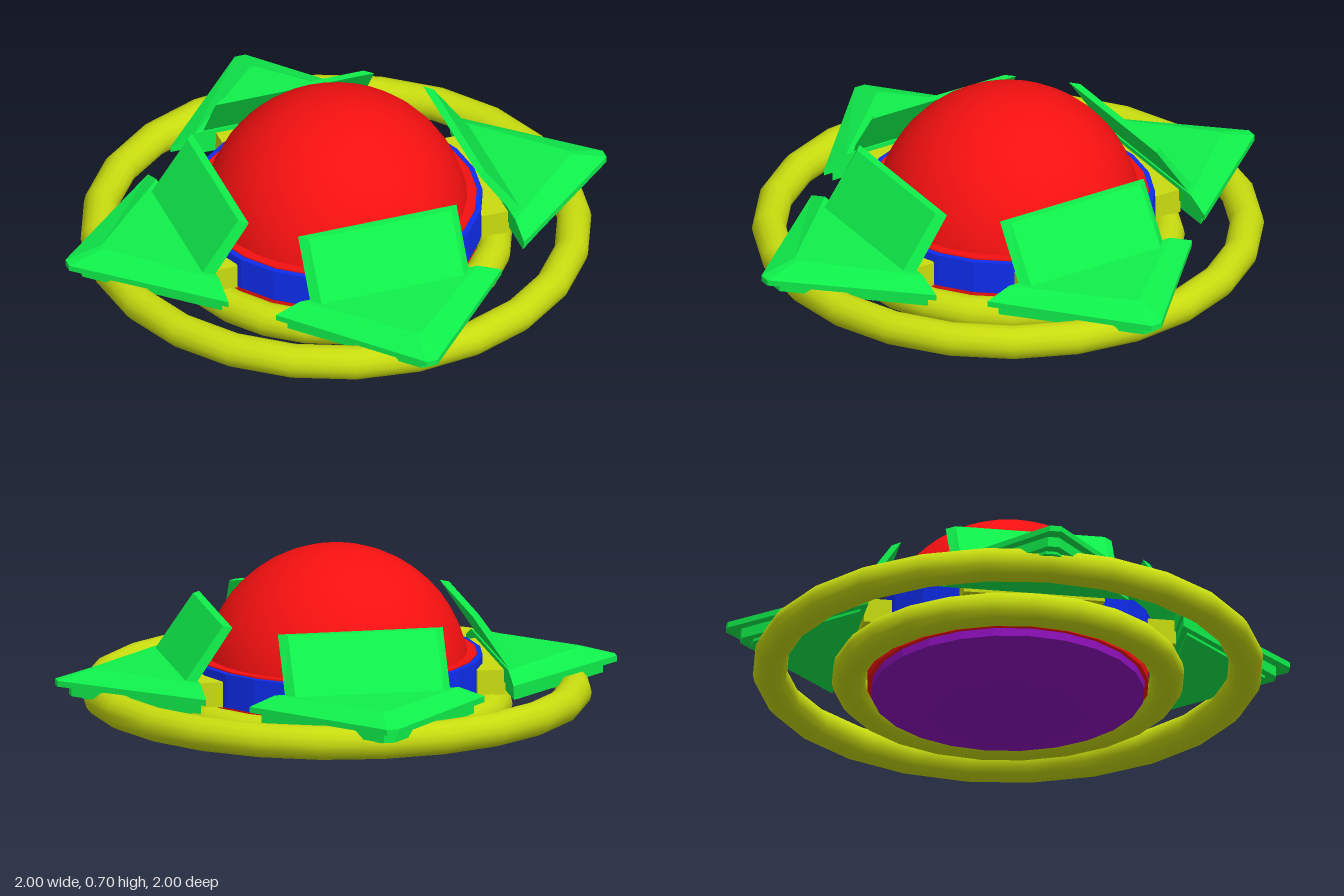
import * as THREE from 'three';

const SEG = 24;
const paint = (color, flat = false) => new THREE.MeshStandardMaterial({ color, flatShading: flat });

// Solid through matching convex outlines, each a list of [x, y, z], counter-clockwise seen from above.
function loft(sections) {
  const pos = [];
  const tri = (a, b, c) => pos.push(...a, ...b, ...c);
  const n = sections[0].length;
  for (let s = 0; s < sections.length - 1; s++) {
    const lo = sections[s], hi = sections[s + 1];
    for (let i = 0; i < n; i++) {
      const j = (i + 1) % n;
      tri(lo[i], lo[j], hi[j]);
      tri(lo[i], hi[j], hi[i]);
    }
  }
  const bottom = sections[0], top = sections[sections.length - 1];
  for (let i = 1; i < n - 1; i++) {
    tri(bottom[0], bottom[i + 1], bottom[i]);
    tri(top[0], top[i], top[i + 1]);
  }
  const geometry = new THREE.BufferGeometry();
  geometry.setAttribute('position', new THREE.Float32BufferAttribute(pos, 3));
  geometry.computeVertexNormals();
  return geometry;
}

// Arrowhead outline pointing along +x with a blunt tip.
const arrow = (y, back, halfWidth, tip, halfTip) => [
  [back, y, halfWidth], [tip, y, halfTip], [tip, y, -halfTip], [back, y, -halfWidth],
];

export function createModel() {
  const group = new THREE.Group();
  const add = (parent, name, geometry, material, x = 0, y = 0, z = 0) => {
    const mesh = new THREE.Mesh(geometry, material);
    mesh.name = name;
    mesh.position.set(x, y, z);
    parent.add(mesh);
    return mesh;
  };

  const red = paint(0xf51010), redFlat = paint(0xf51010, true);
  const green = paint(0x0ff04b, true);
  const yellow = paint(0xc8dc0f), yellowFlat = paint(0xc8dc0f, true);
  const blue = paint(0x0f2df0, true);
  const purple = paint(0x9010be, true);

  // Dome on a shallow drum
  add(group, 'dome', new THREE.SphereGeometry(0.47, 32, 12, 0, Math.PI * 2, 0, Math.PI / 2), red, 0, 0.235, 0);
  add(group, 'drum', new THREE.CylinderGeometry(0.495, 0.495, 0.215, SEG), redFlat, 0, 0.2175, 0);

  // Blue collar around the drum
  add(group, 'collar', new THREE.CylinderGeometry(0.515, 0.515, 0.12, SEG), blue, 0, 0.26, 0);

  // Tapered underside
  const hull = [[0, 0], [0.28, 0], [0.48, 0.08], [0.48, 0.13], [0, 0.13]].map(p => new THREE.Vector2(...p));
  add(group, 'underside', new THREE.LatheGeometry(hull, SEG), purple);

  // Two rings
  for (const [name, radius, y] of [['innerRing', 0.56, 0.145], ['outerRing', 0.838, 0.188]]) {
    const ring = new THREE.TorusGeometry(radius, 0.06, 14, SEG).rotateX(Math.PI / 2);
    add(group, name, ring, yellow, 0, y, 0);
  }

  // Four identical arms: bracket, arrow-shaped wing, stepped keel and slanted shield
  const wing = loft([
    arrow(0.247, 0.55, 0.42, 1, 0.02),
    arrow(0.268, 0.55, 0.42, 1, 0.02),
    arrow(0.305, 0.55, 0.33, 0.87, 0.01),
  ]);
  const keelUpper = loft([arrow(0.21, 0.56, 0.38, 0.95, 0.02), arrow(0.25, 0.56, 0.38, 0.95, 0.02)]);
  const keelLower = loft([arrow(0.2, 0.58, 0.33, 0.91, 0.02), arrow(0.215, 0.58, 0.33, 0.91, 0.02)]);
  const shield = loft([
    [[0.56, 0.3, 0.295], [0.595, 0.3, 0.265], [0.595, 0.3, -0.265], [0.56, 0.3, -0.295]],
    [[0.43, 0.495, 0.295], [0.458, 0.495, 0.265], [0.458, 0.495, -0.265], [0.43, 0.495, -0.295]],
  ]);
  const bracket = new THREE.BoxGeometry(0.1, 0.09, 0.5);
  for (let i = 0; i < 4; i++) {
    const arm = new THREE.Group();
    arm.name = 'arm';
    arm.rotation.y = i * Math.PI / 2;
    add(arm, 'wing', wing, green);
    add(arm, 'keelUpper', keelUpper, green);
    add(arm, 'keelLower', keelLower, green);
    add(arm, 'shield', shield, green);
    add(arm, 'bracket', bracket, yellowFlat, 0.505, 0.245, 0);
    group.add(arm);
  }
  return group;
}
